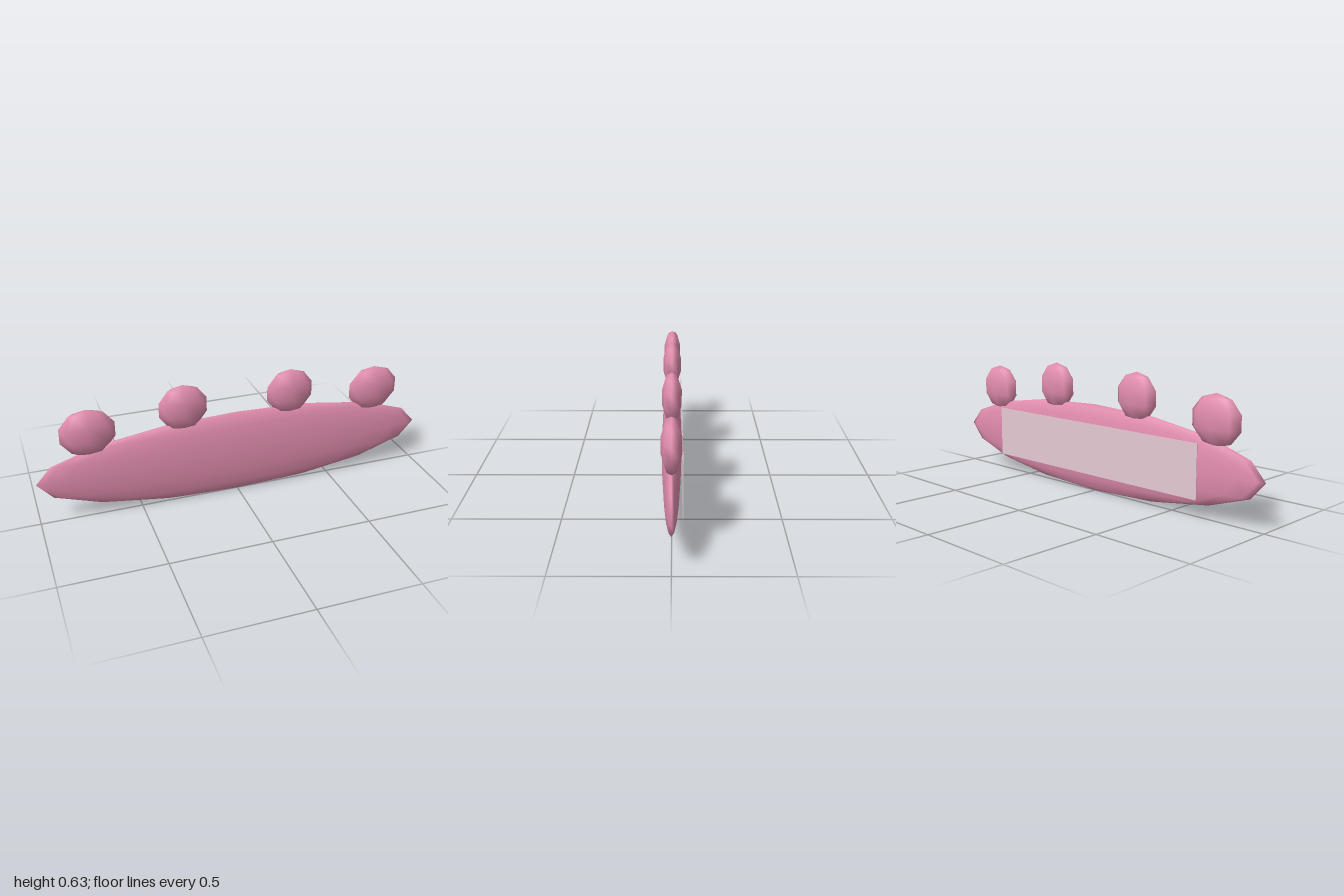
import * as THREE from 'three';

export function createModel() {
  const group = new THREE.Group();
  const pink = new THREE.MeshStandardMaterial({ color: 0xe28dae });
  pink.name = 'pink';
  const palePink = new THREE.MeshStandardMaterial({ color: 0xe6cad4 });
  palePink.name = 'pale pink';

  // Flattened low-sided sphere with smooth normals
  function ellipsoid(name, radii, position, around, rows) {
    const geometry = new THREE.SphereGeometry(1, around, rows).scale(...radii);
    const mesh = new THREE.Mesh(geometry, pink);
    mesh.name = name;
    mesh.position.set(...position);
    group.add(mesh);
  }

  // Long lens-shaped body
  ellipsoid('body', [1, 0.22, 0.048], [0, 0.22, 0.001], 24, 8);

  // Four knobs along the top edge, mirrored left and right
  for (const side of [1, -1]) {
    const label = side > 0 ? 'left' : 'right';
    ellipsoid(label + 'OuterKnob', [0.1375, 0.12, 0.0475], [side * 0.738, 0.454, 0], 8, 5);
    ellipsoid(label + 'InnerKnob', [0.125, 0.118, 0.0475], [side * 0.275, 0.508, 0], 8, 5);
  }

  // Thin flat plate on the back
  const plate = new THREE.Mesh(new THREE.BoxGeometry(1.35, 0.258, 0.003), palePink);
  plate.name = 'backPlate';
  plate.position.set(0, 0.22, -0.0485);
  group.add(plate);

  return group;
}
